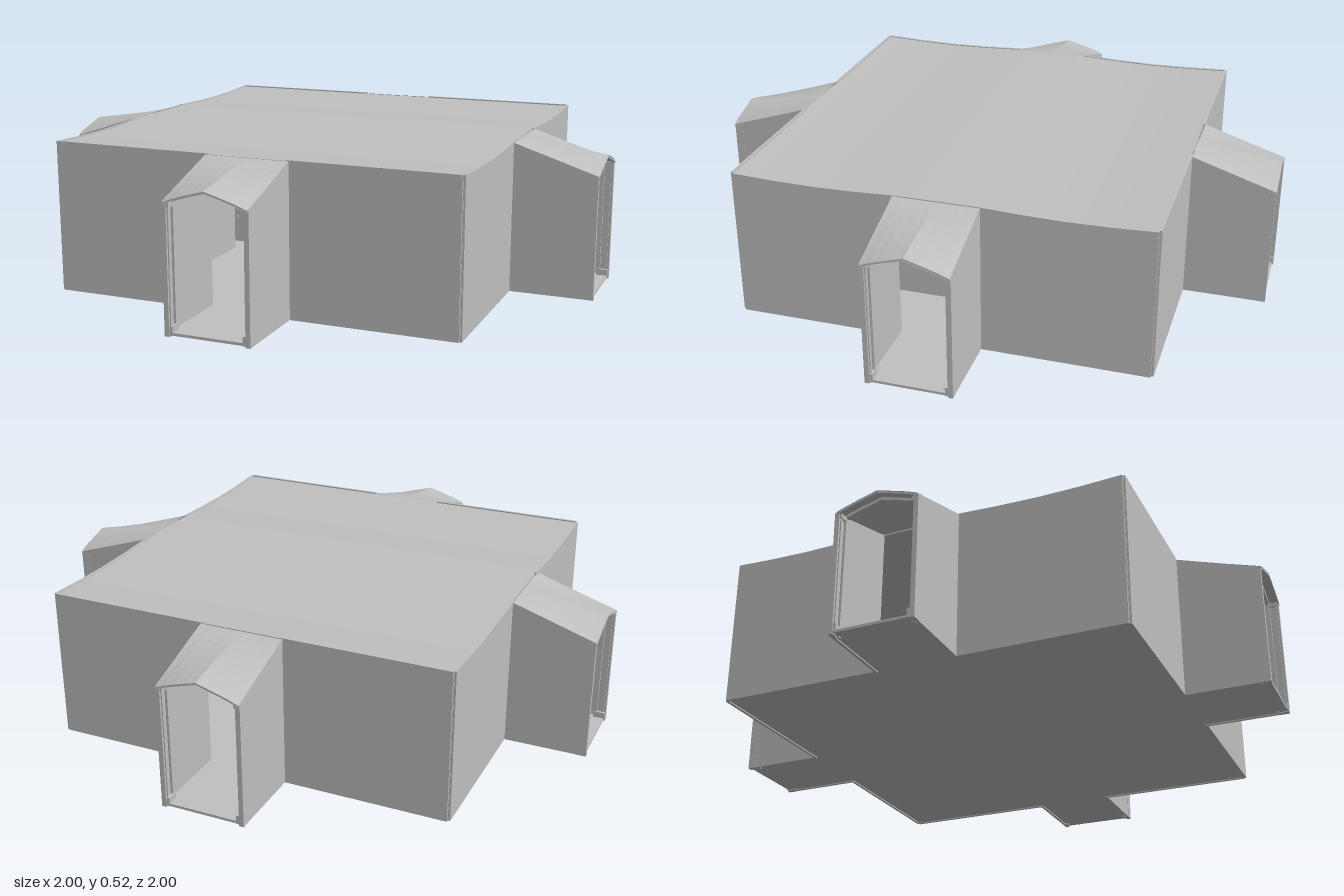
import * as THREE from 'three';

const panel = new THREE.MeshStandardMaterial({ color: 0xc0c0c0 });
panel.name = 'pale grey panel';
panel.side = THREE.DoubleSide;

const R = 0.712, H = 0.145, T = 0.01; // room half size, hall half width, wall thickness

function add(parent, geometry, name, x = 0, y = 0, z = 0) {
  const mesh = new THREE.Mesh(geometry, panel);
  mesh.name = name;
  mesh.position.set(x, y, z);
  parent.add(mesh);
  return mesh;
}

const box = (parent, name, w, h, d, x, y, z) =>
  add(parent, new THREE.BoxGeometry(w, h, d), name, x, y, z);

function extrude(points, depth) {
  const shape = new THREE.Shape(points.map(([x, y]) => new THREE.Vector2(x, y)));
  return new THREE.ExtrudeGeometry(shape, { depth, bevelEnabled: false });
}

// height of the gently sagging room roof at distance z from the middle
const sag = z => 0.518 - 0.009 * Math.sin(Math.PI * Math.min(1, Math.max(0, (Math.abs(z) - H) / (R - H))));
// pointed arch of the hall mouth
const arch = x => 0.424 + 0.046 * Math.pow(1 - Math.min(1, Math.abs(x) / H), 0.85);

// roof skin of a hall: flat at the room, pointed at the mouth
function hallRoof(drop) {
  const g = new THREE.PlaneGeometry(2 * H - 0.006, 1 - R, 8, 5);
  g.rotateX(-Math.PI / 2);
  g.translate(0, 0, (1 + R) / 2);
  const p = g.attributes.position;
  for (let i = 0; i < p.count; i++) {
    const t = (p.getZ(i) - R) / (1 - R);
    p.setY(i, THREE.MathUtils.lerp(0.515, arch(p.getX(i)), t) - drop);
  }
  const flat = g.toNonIndexed();
  flat.computeVertexNormals();
  return flat;
}

// one hall, facing +z
function makeHall() {
  const hall = new THREE.Group();
  add(hall, hallRoof(0), 'hallRoof');
  add(hall, hallRoof(0.01), 'hallCeiling');

  const side = extrude([[R - T, 0], [0.996, 0], [0.996, 0.424], [R - T, 0.519]], T);
  side.rotateY(-Math.PI / 2); // profile x becomes z, depth runs to -x
  add(hall, side, 'hallWallLeft', H);
  add(hall, side, 'hallWallRight', -H + T);

  // arched rim of the mouth
  const xs = [-1, -0.75, -0.5, -0.25, 0, 0.25, 0.5, 0.75, 1].map(u => u * H);
  for (const [z, d, thick] of [[0.955, 0.012, 0.014], [0.975, 0.025, 0.009]]) {
    const rim = [...xs.map(x => [x, arch(x) - 0.002]),
      ...[...xs].reverse().map(x => [x, arch(x) - thick])];
    add(hall, extrude(rim, d), 'mouthArch', 0, 0, z);
  }

  // ribbed posts with boots
  for (const s of [-1, 1]) {
    box(hall, 'mouthPost', 0.016, 0.42, 0.03, s * 0.138, 0.21, 0.983);
    box(hall, 'postRib', 0.01, 0.412, 0.012, s * 0.127, 0.206, 0.962);
    box(hall, 'postRib', 0.006, 0.412, 0.008, s * 0.129, 0.206, 0.987);
    box(hall, 'postBoot', 0.026, 0.03, 0.04, s * 0.132, 0.019, 0.976);
    box(hall, 'postCap', 0.02, 0.014, 0.036, s * 0.133, 0.414, 0.977);
  }
  return hall;
}

export function createModel() {
  const model = new THREE.Group();

  // cross-shaped floor
  const a = R - 0.006, b = H - 0.006, e = 0.994;
  const floor = extrude([[b, e], [b, a], [a, a], [a, b], [e, b], [e, -b], [a, -b], [a, -a],
    [b, -a], [b, -e], [-b, -e], [-b, -a], [-a, -a], [-a, -b], [-e, -b], [-e, b], [-a, b], [-a, a], [-b, a], [-b, e]], 0.009);
  floor.rotateX(-Math.PI / 2);
  add(model, floor, 'floor', 0, 0.004, 0);

  // room roof with a slight sag across z
  const roof = new THREE.BoxGeometry(2 * a, 0.012, 2 * a, 1, 1, 20);
  const p = roof.attributes.position;
  for (let i = 0; i < p.count; i++) p.setY(i, p.getY(i) + sag(p.getZ(i)) - 0.009);
  roof.computeVertexNormals();
  add(model, roof, 'roomRoof');

  for (let k = 0; k < 4; k++) {
    const wing = new THREE.Group();
    wing.name = 'wing' + (k + 1);
    wing.rotation.y = k * Math.PI / 2;
    const hall = makeHall();
    hall.name = 'hall';
    wing.add(hall);

    // two room wall panels beside each hall, stopping short of the corner
    const top = [0, 0.25, 0.5, 0.75, 1].map(u => THREE.MathUtils.lerp(R - 0.008, H - T, u));
    const outline = [[H - T, 0], [R - 0.008, 0], ...top.map(x => [x, k % 2 ? sag(x) : 0.519])];
    for (const s of [-1, 1])
      add(wing, extrude(outline.map(([x, y]) => [s * x, y]), T), 'roomWall', 0, 0, R - T);
    // recessed corner post
    box(wing, 'cornerPost', 0.01, 0.51, 0.01, R - 0.011, 0.257, R - 0.011);
    model.add(wing);
  }

  // low consoles on both sides of the room and cabinets along the front and back walls
  for (const sx of [-1, 1]) for (const sz of [-1, 1]) {
    box(model, 'console', 0.07, 0.243, 0.385, sx * 0.42, 0.1335, sz * 0.2375);
    for (const y of [0.11, 0.18]) box(model, 'consoleKnob', 0.012, 0.008, 0.006, sx * 0.42, y, sz * 0.043);
    for (const x of [0.25, 0.4, 0.55])
      box(model, 'wallCabinet', 0.12, 0.24, 0.05, sx * x, 0.132, sz * 0.66);
  }
  return model;
}
